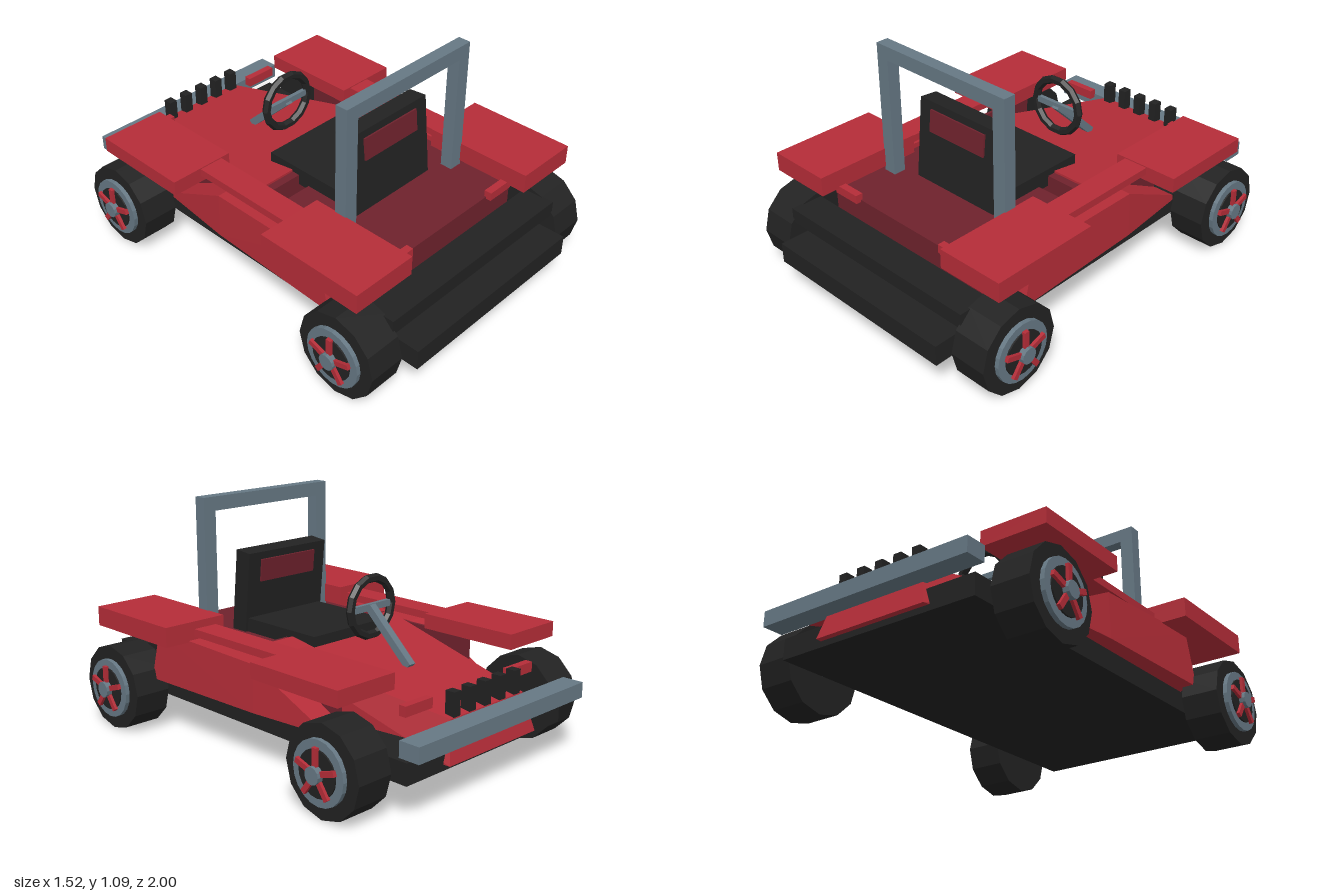
import * as THREE from 'three';
import { ConvexGeometry } from 'three/addons/geometries/ConvexGeometry.js';

const mat = (name, color) => {
  const m = new THREE.MeshStandardMaterial({ color });
  m.name = name;
  return m;
};

export function createModel() {
  const red = mat('red paint', 0xb52d38);
  const darkRed = mat('dark red', 0x6f222d);
  const black = mat('black', 0x222222);
  const grey = mat('steel grey', 0x667884);
  const car = new THREE.Group();
  car.name = 'buggy';

  const add = (name, geo, m, parent = car) => {
    const mesh = new THREE.Mesh(geo, m);
    mesh.name = name;
    parent.add(mesh);
    return mesh;
  };
  // Box given by its limits on each axis
  const box = (name, m, [x0, x1], [y0, y1], [z0, z1], parent = car) => {
    const mesh = add(name, new THREE.BoxGeometry(x1 - x0, y1 - y0, z1 - z0), m, parent);
    mesh.position.set((x0 + x1) / 2, (y0 + y1) / 2, (z0 + z1) / 2);
    return mesh;
  };
  const pair = (name, m, [x0, x1], y, z) => {
    box(name + 'Left', m, [x0, x1], y, z);
    box(name + 'Right', m, [-x1, -x0], y, z);
  };
  const hull = (name, m, points) =>
    add(name, new ConvexGeometry(points.map(p => new THREE.Vector3(...p))), m);

  // Chassis and bumpers; the nose points to -z
  box('chassis', black, [-0.5, 0.5], [0.155, 0.25], [-0.91, 1]);
  box('rearBar', black, [-0.54, 0.54], [0.3, 0.37], [0.75, 0.9]);
  box('noseBumper', grey, [-0.535, 0.535], [0.28, 0.35], [-1, -0.9]);

  // Tub, dash and inner walls
  box('tub', darkRed, [-0.43, 0.43], [0.25, 0.46], [0.12, 0.73]);
  box('dash', darkRed, [-0.41, 0.41], [0.25, 0.49], [0.02, 0.06]);
  pair('innerWall', darkRed, [0.405, 0.42], [0.25, 0.47], [-0.47, 0.12]);

  // Tapered hood
  hull('hood', red, [-1, 1].flatMap(s => [
    [s * 0.41, 0.5, 0.02], [s * 0.41, 0.24, 0.02],
    [s * 0.235, 0.355, -0.9], [s * 0.28, 0.18, -0.94],
  ]));

  // Side pods
  for (const s of [-1, 1]) {
    hull(s > 0 ? 'sidePodLeft' : 'sidePodRight', red, [
      [0.43, 0.255, 0.6], [0.585, 0.255, 0.59], [0.43, 0.495, 0.53], [0.58, 0.495, 0.53],
      [0.425, 0.47, -0.1], [0.56, 0.47, -0.1], [0.425, 0.255, -0.1], [0.565, 0.255, -0.1],
      [0.425, 0.28, -0.47], [0.53, 0.28, -0.47], [0.425, 0.255, -0.47], [0.53, 0.255, -0.47],
    ].map(([x, y, z]) => [s * x, y, z]));
  }
  pair('sideRail', red, [0.42, 0.54], [0.5, 0.535], [-0.24, 0.33]);

  // Fenders and lamps
  pair('noseFender', red, [0.375, 0.69], [0.47, 0.54], [-0.73, -0.235]);
  pair('rearFender', red, [0.375, 0.695], [0.48, 0.57], [0.32, 0.845]);
  pair('noseLamp', red, [0.25, 0.41], [0.385, 0.43], [-0.82, -0.785]);
  pair('rearLamp', red, [0.26, 0.4], [0.45, 0.49], [0.72, 0.755]);

  // Grille slats
  for (let i = -2; i <= 2; i++) {
    box('grilleSlat', black, [i * 0.098 - 0.02, i * 0.098 + 0.02], [0.34, 0.46], [-0.9, -0.855]);
  }

  // Roll bar
  pair('rollBarLeg', grey, [0.315, 0.38], [0.45, 1.025], [0.43, 0.49]);
  box('rollBarTop', grey, [-0.38, 0.38], [1.025, 1.09], [0.43, 0.49]);

  // Seat
  box('seatCushion', black, [-0.225, 0.225], [0.44, 0.525], [-0.12, 0.34]);
  const back = new THREE.Group();
  back.name = 'seatBack';
  back.position.set(0, 0.45, 0.375);
  back.rotation.x = -0.1;
  car.add(back);
  box('backrest', black, [-0.237, 0.237], [0, 0.39], [-0.045, 0.045], back);
  box('headPad', darkRed, [-0.165, 0.165], [0.25, 0.355], [-0.054, 0.054], back);

  // Steering wheel and column
  const ring = add('steeringWheel', new THREE.TorusGeometry(0.13, 0.02, 6, 14), black);
  ring.position.set(0, 0.645, -0.245);
  box('steeringSpoke', grey, [-0.12, 0.12], [0.63, 0.66], [-0.255, -0.235]);
  const column = add('steeringColumn', new THREE.BoxGeometry(0.036, 0.036, 0.33), grey);
  column.position.set(0, 0.535, -0.36);
  column.rotation.x = -0.75;

  // Wheels, each built along +x from the middle of the car
  const disc = (name, m, r, x0, x1, n, parent) => {
    const mesh = add(name, new THREE.CylinderGeometry(r, r, x1 - x0, n).rotateZ(Math.PI / 2), m, parent);
    mesh.material.flatShading = true;
    mesh.position.x = (x0 + x1) / 2;
  };
  for (const z of [-0.66, 0.745]) {
    for (const s of [-1, 1]) {
      const wheel = new THREE.Group();
      wheel.name = (z < 0 ? 'nose' : 'rear') + 'Wheel' + (s > 0 ? 'Left' : 'Right');
      wheel.position.set(0, 0.2, z);
      wheel.rotation.y = s > 0 ? 0 : Math.PI;
      car.add(wheel);
      disc('axle', grey, 0.03, 0.45, 0.56, 12, wheel);
      disc('tyre', black, 0.2, 0.53, 0.705, 12, wheel);
      disc('rim', grey, 0.138, 0.705, 0.725, 20, wheel);
      disc('rimCentre', black, 0.1, 0.725, 0.732, 20, wheel);
      for (let i = 0; i < 5; i++) {
        const spoke = new THREE.Group();
        spoke.name = 'spoke';
        spoke.rotation.x = i * Math.PI * 2 / 5;
        wheel.add(spoke);
        box('spokeBar', red, [0.73, 0.746], [0.02, 0.11], [-0.012, 0.012], spoke);
      }
      disc('hub', grey, 0.037, 0.725, 0.76, 12, wheel);
    }
  }
  return car;
}
